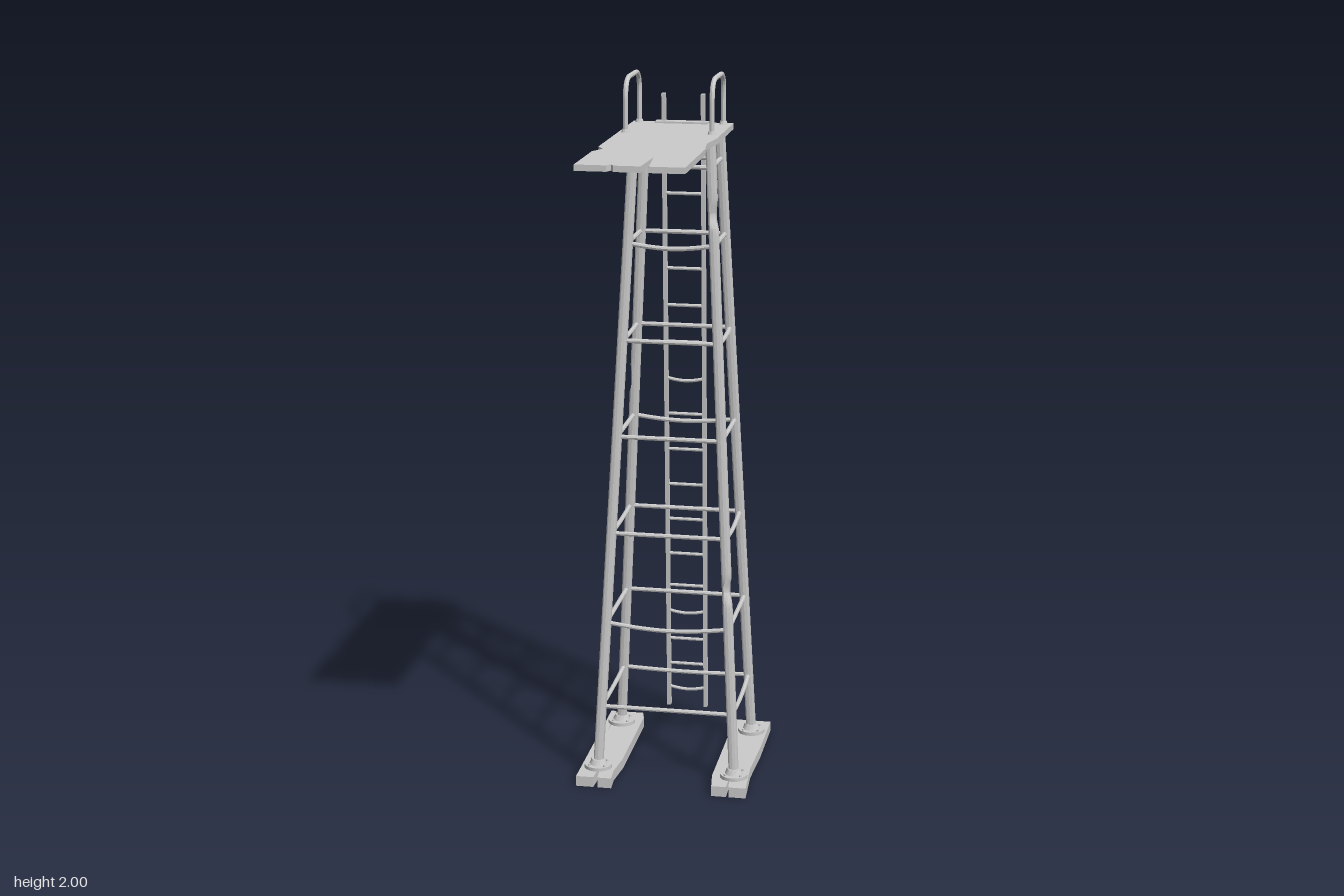
import * as THREE from 'three';
import { toCreasedNormals } from 'three/addons/utils/BufferGeometryUtils.js';

const mat = new THREE.MeshStandardMaterial({ color: 0xcccccc });
const V = (x, y, z) => new THREE.Vector3(x, y, z);
const ZC = -0.205; // tower axis in z

export function createModel() {
  const root = new THREE.Group();

  function add(name, geo, parent = root) {
    const m = new THREE.Mesh(toCreasedNormals(geo, 0.7), mat);
    m.name = name;
    parent.add(m);
    return m;
  }

  // flat plank from an outline given as [x, z] pairs
  function plank(name, pts, y, h) {
    const s = new THREE.Shape(pts.map(([x, z]) => new THREE.Vector2(x, -z)));
    const g = new THREE.ExtrudeGeometry(s, { depth: h, bevelEnabled: false });
    g.rotateX(-Math.PI / 2);
    return add(name, g).translateY(y);
  }

  // straight round bar between two points
  function bar(name, a, b, r, sides = 8, parent = root) {
    const d = b.clone().sub(a);
    const m = add(name, new THREE.CylinderGeometry(r, r, d.length(), sides), parent);
    m.position.copy(a).add(b).multiplyScalar(0.5);
    m.quaternion.setFromUnitVectors(V(0, 1, 0), d.normalize());
    return m;
  }

  // bar bent downwards in the middle
  function sagBar(name, a, b, r, sag, parent = root) {
    if (!sag) return bar(name, a, b, r, 8, parent);
    const pts = [0, 0.25, 0.5, 0.75, 1].map(t => {
      const p = a.clone().lerp(b, t);
      p.y -= sag * Math.sin(Math.PI * t);
      return p;
    });
    return add(name, new THREE.TubeGeometry(new THREE.CatmullRomCurve3(pts), 12, r, 8), parent);
  }

  // centre of a leg at height y
  const legAt = (sx, sz, y) => {
    const t = (y - 0.03) / 1.8;
    return V(sx * (0.197 - 0.092 * t), y, ZC + sz * (0.17 - 0.09 * t));
  };

  // cracked diving board
  plank('board', [
    [-0.142, 0.455], [-0.06, 0.455], [-0.052, 0.435], [-0.043, 0.455], [0.026, 0.455],
    [0.032, 0.31], [0.047, 0.455], [0.138, 0.455], [0.138, 0.16], [0.126, 0.06],
    [0.138, -0.03], [0.138, -0.316], [-0.142, -0.316], [-0.142, 0.16], [-0.123, 0.195], [-0.142, 0.24],
  ], 1.834, 0.016);

  // worn ground planks
  plank('footPlankLeft', [
    [0.145, 0.045], [0.187, 0.045], [0.186, -0.03], [0.194, 0.045], [0.243, 0.045], [0.235, -0.1],
    [0.242, -0.25], [0.243, -0.455], [0.135, -0.455], [0.135, -0.03],
  ], 0, 0.03);
  plank('footPlankRight', [
    [-0.245, 0.045], [-0.195, 0.045], [-0.191, -0.05], [-0.183, 0.045], [-0.143, 0.045], [-0.147, -0.01],
    [-0.138, -0.1], [-0.138, -0.42], [-0.147, -0.455], [-0.22, -0.455], [-0.224, -0.3], [-0.23, -0.455],
    [-0.245, -0.455],
  ], 0, 0.03);

  // legs, some dented, with bolted feet and top caps
  const up = V(0, 1, 0);
  for (const sx of [-1, 1]) for (const sz of [-1, 1]) {
    const leg = new THREE.Group();
    leg.name = 'leg';
    root.add(leg);
    const a = legAt(sx, sz, 0.03), b = legAt(sx, sz, 1.834);
    const dents = sx > 0 && sz > 0 ? [0.58, 1.63] : sx < 0 && sz < 0 ? [1.11] : [];
    const len = a.distanceTo(b);
    const g = new THREE.CylinderGeometry(0.0145, 0.0145, len, 10, dents.length ? 90 : 1);
    const p = g.attributes.position;
    for (let i = 0; i < p.count; i++) {
      const y = p.getY(i) + len / 2 + 0.03;
      for (const d of dents) {
        const f = 0.011 * Math.max(0, 1 - Math.abs(y - d) / 0.035);
        if (p.getX(i) * sx + p.getZ(i) * sz > 0.004) {
          p.setX(i, p.getX(i) - sx * f);
          p.setZ(i, p.getZ(i) - sz * f);
        }
      }
    }
    const post = add('legPost', g, leg);
    post.position.copy(a).add(b).multiplyScalar(0.5);
    post.quaternion.setFromUnitVectors(up, b.clone().sub(a).normalize());

    const foot = add('footFlange', new THREE.CylinderGeometry(0.04, 0.04, 0.01, 16), leg);
    foot.position.set(a.x, 0.035, a.z);
    const collar = add('footCollar', new THREE.CylinderGeometry(0.019, 0.026, 0.016, 12), leg);
    collar.position.set(a.x, 0.047, a.z);
    for (let k = 0; k < 4; k++) {
      const w = Math.PI * (k / 2 + 0.25);
      const bolt = add('bolt', new THREE.CylinderGeometry(0.004, 0.004, 0.005, 6), leg);
      bolt.position.set(a.x + 0.031 * Math.cos(w), 0.042, a.z + 0.031 * Math.sin(w));
    }
    const cap = add('topFlange', new THREE.CylinderGeometry(0.027, 0.022, 0.012, 12), leg);
    cap.position.set(b.x, 1.828, b.z);
  }

  // horizontal braces: [height, front sag, back sag, side sag]
  const braces = [
    [0.213, 0, 0.005, 0.013], [0.463, 0.015, 0, 0], [0.725, 0, 0, 0.012], [1.003, 0, 0.012, 0],
    [1.275, 0, 0, 0.008], [1.545, 0.012, 0, 0], [1.757, 0, 0, 0],
  ];
  for (const [y, f, k, s] of braces) {
    sagBar('frontBrace', legAt(-1, 1, y), legAt(1, 1, y), 0.0065, f);
    sagBar('backBrace', legAt(-1, -1, y), legAt(1, -1, y), 0.0065, k);
    sagBar('leftBrace', legAt(1, -1, y), legAt(1, 1, y), 0.0065, s);
    sagBar('rightBrace', legAt(-1, -1, y), legAt(-1, 1, y), 0.0065, s * 0.3);
  }

  // ladder leaning along the back of the tower
  const ladder = new THREE.Group();
  ladder.name = 'ladder';
  root.add(ladder);
  const ladZ = y => -0.397 + 0.0525 * (y - 0.09);
  for (const sx of [-1, 1]) {
    const a = V(sx * 0.055, 0.09, ladZ(0.09)), b = V(sx * 0.055, 1.93, ladZ(1.93));
    const rail = add('ladderRail', new THREE.BoxGeometry(0.011, a.distanceTo(b), 0.016), ladder);
    rail.position.copy(a).add(b).multiplyScalar(0.5);
    rail.quaternion.setFromUnitVectors(up, b.clone().sub(a).normalize());
  }
  const rungs = [0.15, 0.225, 0.305, 0.395, 0.475, 0.575];
  for (let i = 0; i < 11; i++) rungs.push(0.683 + i * 0.1075);
  rungs.forEach((y, i) => {
    const z = ladZ(y);
    sagBar('rung', V(-0.055, y, z), V(0.055, y, z), 0.005, i === 0 || i === 3 || i === 10 ? 0.008 : 0, ladder);
  });
  // bracket holding the ladder to the board
  const bracket = add('ladderBracket', new THREE.BoxGeometry(0.147, 0.01, 0.034), ladder);
  bracket.position.set(-0.003, 1.85, -0.297);

  // hooped handrails
  for (const x of [-0.122, 0.113]) {
    const rail = new THREE.Group();
    rail.name = 'handrail';
    root.add(rail);
    const z0 = -0.1, z1 = -0.295, top = 1.993, r = 0.055;
    const path = new THREE.CurvePath();
    const zi = z0 - r, zo = z1 + r;
    path.add(new THREE.LineCurve3(V(x, 1.845, z0), V(x, top - r, z0)));
    path.add(new THREE.QuadraticBezierCurve3(V(x, top - r, z0), V(x, top, z0), V(x, top, zi)));
    path.add(new THREE.LineCurve3(V(x, top, zi), V(x, top, zo)));
    path.add(new THREE.QuadraticBezierCurve3(V(x, top, zo), V(x, top, z1), V(x, top - r, z1)));
    path.add(new THREE.LineCurve3(V(x, top - r, z1), V(x, 1.845, z1)));
    const pts = path.getSpacedPoints(40);
    add('handrailHoop', new THREE.TubeGeometry(new THREE.CatmullRomCurve3(pts), 60, 0.007, 8), rail);
    for (const z of [z0, z1]) {
      const f = add('handrailFoot', new THREE.CylinderGeometry(0.009, 0.012, 0.01, 12), rail);
      f.position.set(x, 1.854, z);
    }
  }
  return root;
}
